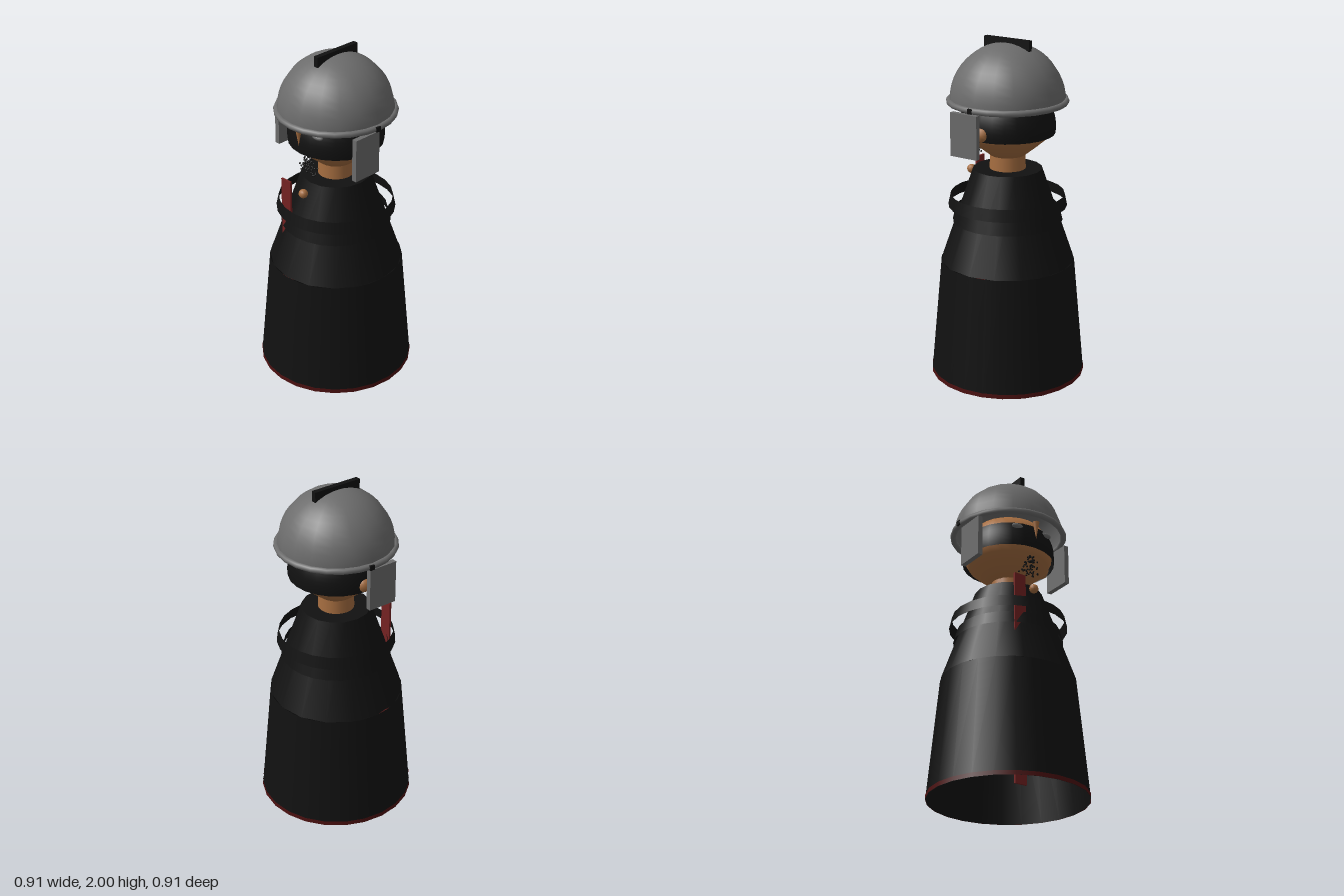
import * as THREE from 'three';

const mat = (name, color, side = THREE.FrontSide) => {
  const m = new THREE.MeshStandardMaterial({ color, side });
  m.name = name;
  return m;
};

export function createModel() {
  const model = new THREE.Group();
  const black = mat('black cloth', 0x111111, THREE.DoubleSide);
  const skin = mat('skin', 0xa56d40);
  const steel = mat('grey steel', 0x6c6c6c, THREE.DoubleSide);
  const red = mat('red sash', 0x742222);
  const darkRed = mat('dark red hem', 0x4a1010, THREE.DoubleSide);

  const add = (name, geometry, material, x = 0, y = 0, z = 0) => {
    const mesh = new THREE.Mesh(geometry, material);
    mesh.name = name;
    mesh.position.set(x, y, z);
    model.add(mesh);
    return mesh;
  };
  // open cone band between two heights
  const band = (name, rTop, rBottom, y0, y1, material, sides = 24) =>
    add(name, new THREE.CylinderGeometry(rTop, rBottom, y1 - y0, sides, 1, true), material, 0, (y0 + y1) / 2);

  // Robe
  band('robeSkirt', 0.39, 0.455, 0, 0.7, black);
  band('hem', 0.455, 0.457, 0, 0.025, darkRed);
  add('robeTop', new THREE.CylinderGeometry(0.2, 0.39, 0.55, 16), black, 0, 0.975);
  band('waistBand', 0.3, 0.32, 0.94, 1.015, black);
  band('shoulderBand', 0.33, 0.345, 1.03, 1.1, black);
  add('sash', new THREE.BoxGeometry(0.075, 1.25, 0.012), red, -0.115, 0.625, 0.277);
  add('button', new THREE.SphereGeometry(0.027, 12, 8), skin, 0, 1.2, 0.255);

  // Head
  add('neck', new THREE.CylinderGeometry(0.1, 0.105, 0.12, 20), skin, 0, 1.3);
  const profile = [[0.001, 1.32], [0.1, 1.33], [0.17, 1.385], [0.235, 1.44], [0.257, 1.48],
    [0.262, 1.53], [0.245, 1.6], [0.2, 1.68], [0.001, 1.75]].map(([r, y]) => new THREE.Vector2(r, y));
  add('head', new THREE.LatheGeometry(profile, 24), skin);
  const top = Math.acos(0.115 / 0.275), bottom = Math.acos(-0.04 / 0.275);
  add('hairBand', new THREE.SphereGeometry(0.275, 24, 6, 0, Math.PI * 2, top, bottom - top), black, 0, 1.5);
  const nose = add('nose', new THREE.ConeGeometry(0.02, 0.11, 10), skin, 0, 1.57, 0.283);
  nose.rotation.x = Math.PI;

  // Beard of small beads, fanning out downwards
  let seed = 7;
  const random = () => (seed = (seed * 16807) % 2147483647) / 2147483647;
  const bead = new THREE.SphereGeometry(0.006, 6, 4);
  for (let i = 0; i < 65; i++) {
    const t = random();
    const spread = 0.02 + 0.055 * t;
    add('beardBead', bead, black, (random() * 2 - 1) * spread, 1.425 - 0.115 * t,
      0.23 - 0.03 * t + (random() - 0.5) * 0.045);
  }

  // Helmet
  add('helmetDome', new THREE.SphereGeometry(0.33, 18, 12, 0, Math.PI * 2, 0, Math.PI / 2), steel, 0, 1.647);
  const rim = add('helmetRim', new THREE.TorusGeometry(0.332, 0.018, 8, 24), steel, 0, 1.648);
  rim.rotation.x = Math.PI / 2;
  add('helmetCrest', new THREE.BoxGeometry(0.03, 0.06, 0.3), black, 0, 1.97);

  // Mirrored side parts
  for (const s of [-1, 1]) {
    add('ear', new THREE.SphereGeometry(0.047, 12, 8), skin, s * 0.248, 1.5, 0);
    const eye = add('eye', new THREE.SphereGeometry(0.04, 12, 8), steel, s * 0.1, 1.588, 0.237);
    eye.scale.set(1, 0.4, 0.5);
    add('cheekGuard', new THREE.BoxGeometry(0.03, 0.25, 0.178), steel, s * 0.312, 1.495, 0.076);
    add('rivet', new THREE.BoxGeometry(0.026, 0.028, 0.03), black, s * 0.338, 1.648, s * 0.017);
  }
  return model;
}
